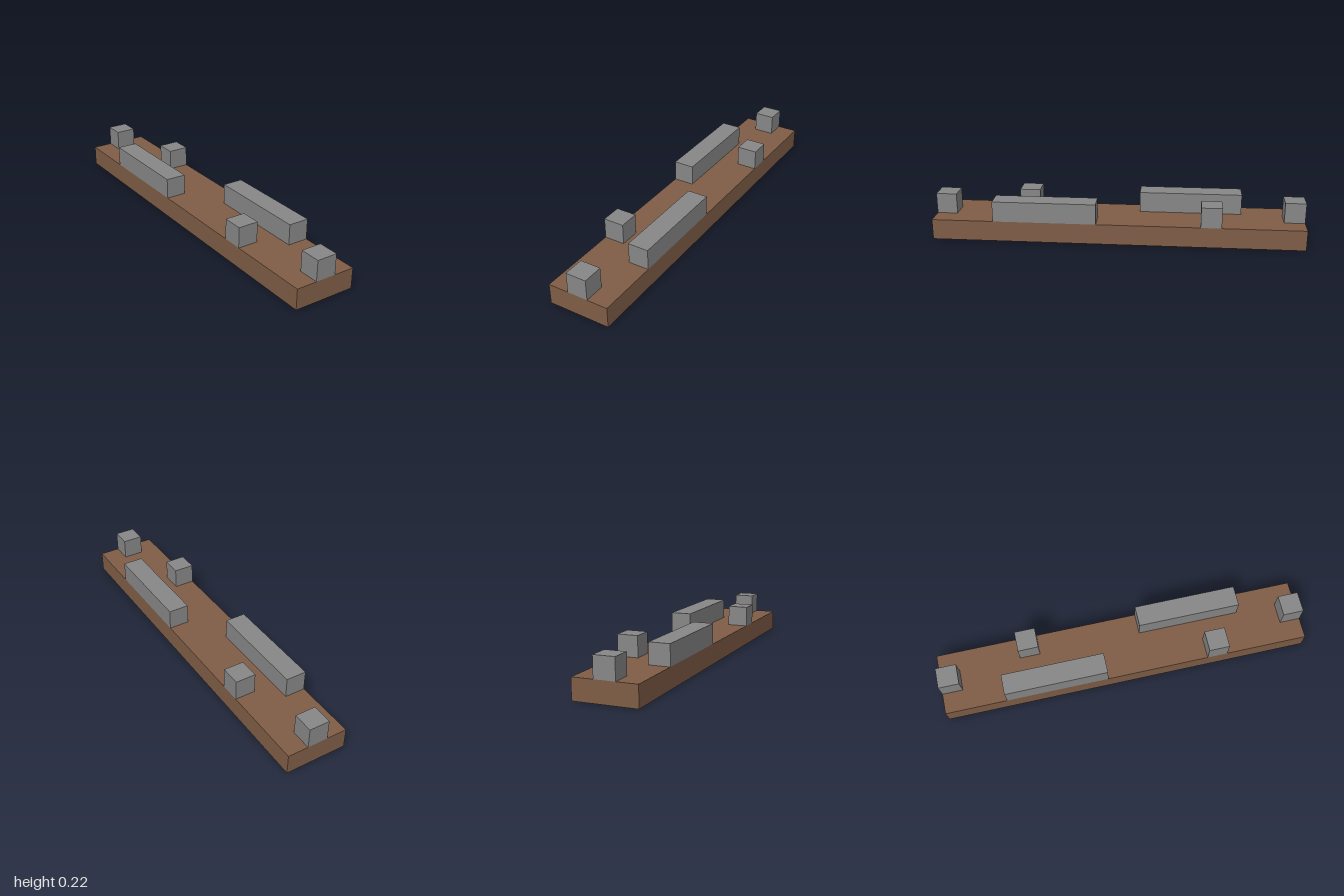
import * as THREE from 'three';

const U = 1 / 9; // one block unit

export function createModel() {
  const group = new THREE.Group();
  const brown = new THREE.MeshStandardMaterial({ name: 'brown', color: 0x7f5d46 });
  const grey = new THREE.MeshStandardMaterial({ name: 'grey', color: 0x878787 });

  // Box given by its size and by its base centre, in block units
  function block(name, material, [w, h, d], [x, y, z]) {
    const mesh = new THREE.Mesh(new THREE.BoxGeometry(w * U, h * U, d * U), material);
    mesh.name = name;
    mesh.position.set(x * U, (y + h / 2) * U, z * U);
    group.add(mesh);
  }

  // Plank
  block('basePlank', brown, [3, 1, 18], [0, 0, 0]);

  // Blocks on top, repeated by a half turn about the vertical axis
  for (const s of [1, -1]) {
    const side = s > 0 ? 'front' : 'back';
    block(side + 'EndBlock', grey, [1, 1, 1], [0, 1, 8.5 * s]);
    block(side + 'LongBlock', grey, [1, 1, 5], [s, 1, 3.5 * s]);
    block(side + 'SideBlock', grey, [1, 1, 1], [-s, 1, 4.5 * s]);
  }
  return group;
}
